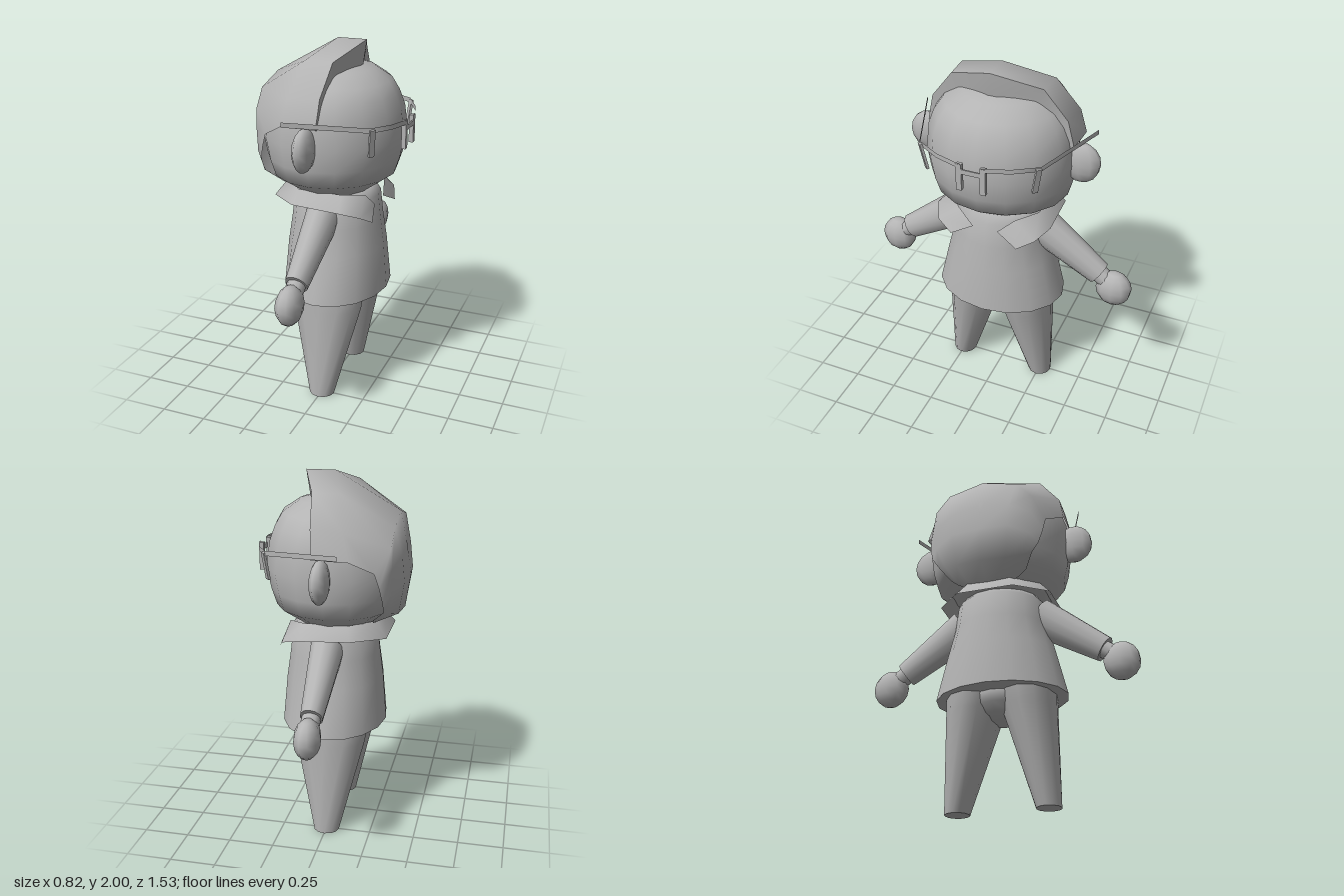
import * as THREE from 'three';

const grey = new THREE.MeshStandardMaterial({ color: 0xb4b4b4, side: THREE.DoubleSide });
grey.name = 'grey';

// Smooth skin over rows of [x, y, z] points; a repeated row makes a sharp edge
function skin(rows, closed = false) {
  const n = rows[0].length, index = [];
  for (let r = 0; r < rows.length - 1; r++) {
    for (let c = 0; c < (closed ? n : n - 1); c++) {
      const a = r * n + c, b = r * n + (c + 1) % n;
      index.push(a, a + n, b, b, a + n, b + n);
    }
  }
  const g = new THREE.BufferGeometry();
  g.setAttribute('position', new THREE.Float32BufferAttribute(rows.flat(2), 3));
  g.setIndex(index);
  g.computeVertexNormals();
  return g;
}

// Stacked ellipses, bottom to top: [y, rx, rz, centreX, centreZ]
function loft(levels, sides) {
  return skin(levels.map(([y, rx, rz, cx = 0, cz = 0]) =>
    Array.from({ length: sides }, (_, i) => {
      const a = (i / sides) * Math.PI * 2;
      return [cx + rx * Math.cos(a), y, cz + rz * Math.sin(a)];
    })), true);
}

const mirrorPoint = ([x, y, z]) => [x, y, -z];

export function createModel() {
  const model = new THREE.Group();
  model.name = 'figure';
  const add = (name, geometry, x = 0, y = 0, z = 0) => {
    const mesh = new THREE.Mesh(geometry, grey);
    mesh.name = name;
    mesh.position.set(x, y, z);
    model.add(mesh);
    return mesh;
  };

  // The figure looks along +x, arms spread along z
  add('head', loft([
    [1.13, 0, 0], [1.135, 0.08, 0.08], [1.2, 0.21, 0.23], [1.29, 0.335, 0.37], [1.38, 0.365, 0.395],
    [1.5, 0.39, 0.41], [1.64, 0.37, 0.395], [1.72, 0.34, 0.365], [1.79, 0.3, 0.315],
    [1.85, 0.21, 0.22], [1.878, 0.1, 0.1], [1.88, 0, 0],
  ].map(([y, rx, rz]) => [y, rx, rz, -0.015]), 16));

  // Hair columns from the middle outwards, each running from the fringe over the crown to the nape
  const columns = [
    [[0.14, 1.87, 0], [0.16, 2, 0], [0, 2, 0], [-0.35, 1.8, 0], [-0.385, 1.63, 0],
      [-0.412, 1.46, 0], [-0.385, 1.28, 0], [-0.22, 1.19, 0]],
    [[0.06, 1.82, 0.22], [0.07, 1.92, 0.25], [-0.08, 1.92, 0.26], [-0.35, 1.75, 0.2], [-0.385, 1.6, 0.16],
      [-0.4, 1.46, 0.16], [-0.37, 1.28, 0.14], [-0.22, 1.2, 0.1]],
    [[0.05, 1.74, 0.33], [0.05, 1.76, 0.375], [-0.12, 1.75, 0.385], [-0.345, 1.66, 0.28], [-0.35, 1.55, 0.28],
      [-0.35, 1.42, 0.27], [-0.34, 1.3, 0.22], [-0.24, 1.23, 0.18]],
    [[0.04, 1.6, 0.38], [0.04, 1.61, 0.41], [-0.15, 1.61, 0.413], [-0.27, 1.54, 0.34], [-0.295, 1.46, 0.33],
      [-0.31, 1.38, 0.31], [-0.31, 1.32, 0.27], [-0.25, 1.26, 0.22]],
  ];
  const all = [...columns.slice(1).reverse().map((c) => c.map(mirrorPoint)), ...columns];
  const hairRows = [0, 1, 1, 2, 3, 4, 5, 6, 7].map((k) => all.map((c) => c[k]));
  add('hair', skin(hairRows));

  // Shirt, flared towards a sharp hem
  add('shirt', loft([
    [0.61, 0, 0], [0.61, 0.293, 0.37], [0.61, 0.293, 0.37], [0.87, 0.272, 0.305],
    [1.02, 0.252, 0.265], [1.16, 0.236, 0.25], [1.21, 0.19, 0.21], [1.21, 0, 0],
  ], 16));

  // Collar, open at the front with two points
  const inner = [[0.24, 1.13, 0.07], [0.215, 1.21, 0.16], [0.12, 1.23, 0.26], [-0.12, 1.23, 0.26], [-0.25, 1.225, 0.12]];
  const outer = [[0.27, 1.07, 0.19], [0.235, 1.12, 0.28], [0.13, 1.15, 0.33], [-0.14, 1.16, 0.32], [-0.31, 1.14, 0.16]];
  const around = (half) => [...half, ...half.map(mirrorPoint).reverse()];
  add('collar', skin([around(outer), around(inner)]));

  // Hips
  add('hips', new THREE.SphereGeometry(1, 12, 8), 0, 0.6, 0).scale.set(0.19, 0.13, 0.2);

  // Glasses: brow band from temple to temple
  const path = [[-0.11, 1.645, 0.49], [0.3, 1.615, 0.33], [0.37, 1.608, 0.2], [0.405, 1.605, 0.08], [0.407, 1.6, 0.05]];
  const lift = (points, d) => points.map(([x, y, z]) => [x, y + d, z]);
  add('noseBridge', new THREE.BoxGeometry(0.008, 0.026, 0.1), 0.403, 1.57, 0);

  for (const s of [1, -1]) {
    const side = s > 0 ? 'Right' : 'Left';

    const ear = add('ear' + side, new THREE.SphereGeometry(1, 10, 8), -0.012, 1.507, 0.435 * s);
    ear.scale.set(0.052, 0.115, 0.107);

    const band = path.map(([x, y, z]) => [x, y, z * s]);
    add('glassesBand' + side, skin([lift(band, -0.013), lift(band, 0.013)]));
    add('innerFrameBar' + side, new THREE.BoxGeometry(0.024, 0.15, 0.03), 0.395, 1.535, 0.065 * s);
    const bar = add('outerFrameBar' + side, new THREE.BoxGeometry(0.014, 0.15, 0.03), 0.302, 1.545, 0.31 * s);
    bar.rotation.set(0.08 * s, -0.75 * s, -0.14);

    // Sleeve, wrist and hand
    const slope = -0.973 * s;
    const sleeve = add('sleeve' + side, new THREE.CylinderGeometry(0.112, 0.073, 0.435, 12), 0, 0.957, 0.4 * s);
    sleeve.rotation.x = slope;
    sleeve.scale.x = 0.82;
    const wrist = add('wrist' + side, new THREE.CylinderGeometry(0.05, 0.05, 0.12, 10), 0, 0.812, 0.61 * s);
    wrist.rotation.x = slope;
    add('hand' + side, new THREE.SphereGeometry(1, 10, 8), 0, 0.757, 0.668 * s).scale.set(0.071, 0.108, 0.102);

    // Trouser leg, tapering to a flat foot
    add('leg' + side, loft([
      [0, 0, 0, 0, 0.25 * s], [0, 0.072, 0.068, 0, 0.25 * s], [0, 0.072, 0.068, 0, 0.25 * s],
      [0.53, 0.2, 0.148, 0, 0.158 * s], [0.64, 0.215, 0.155, 0, 0.15 * s],
    ], 12));
  }
  return model;
}
